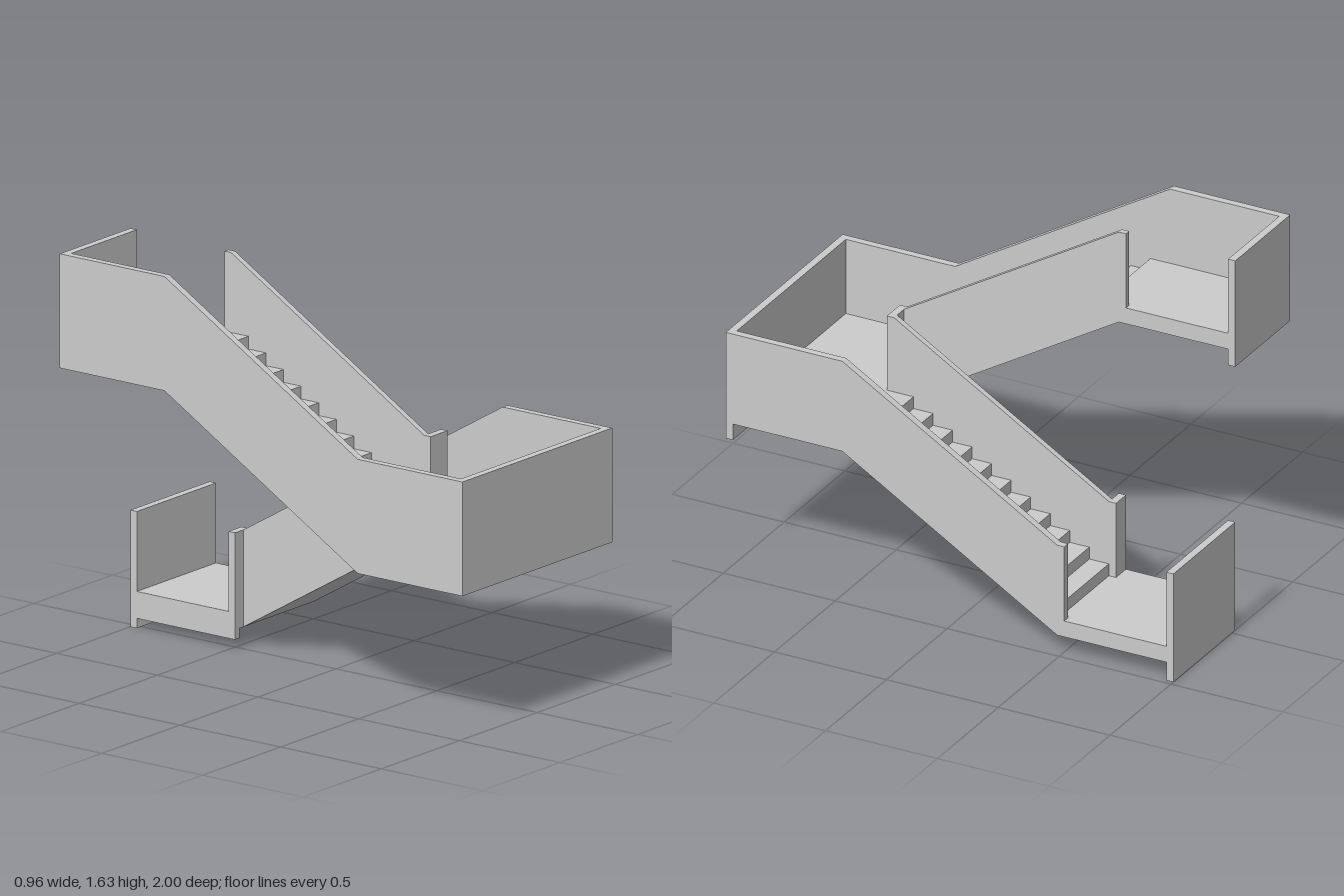
import * as THREE from 'three';

const material = new THREE.MeshStandardMaterial({ color: 0xcccccc, flatShading: true });

// Overall levels and widths
const W = 0.48, T = 0.032;                 // half width, wall thickness
const END = 0.48;                          // flights run from z = -END to END
const LOW = 0.15, MID = 0.726, TOP = 1.302; // floor levels
const SLAB = 0.07, RAIL = 0.327;           // slab depth, parapet height above floor
const GAP = 0.028, INNER = 0.054;          // faces of the inner parapets
const STEPS = 11;

export function createModel() {
  const model = new THREE.Group();

  const add = (name, geometry) => {
    const mesh = new THREE.Mesh(geometry, material);
    mesh.name = name;
    model.add(mesh);
  };

  // Box given by its limits on each axis
  const box = (name, x0, x1, y0, y1, z0, z1) => {
    const g = new THREE.BoxGeometry(x1 - x0, y1 - y0, z1 - z0);
    g.translate((x0 + x1) / 2, (y0 + y1) / 2, (z0 + z1) / 2);
    add(name, g);
  };

  // Side profile of [z, y] points, extruded from x0 to x1
  const profile = (name, x0, x1, points) => {
    const shape = new THREE.Shape(points.map(([z, y]) => new THREE.Vector2(z, y)));
    const g = new THREE.ExtrudeGeometry(shape, { depth: x1 - x0, bevelEnabled: false });
    g.rotateY(-Math.PI / 2);
    g.translate(x1, 0, 0);
    add(name, g);
  };

  // Flight with sawtooth top and sloping soffit; dir is the climbing direction in z
  const flight = (name, x0, x1, base, dir) => {
    const run = (2 * END) / STEPS, rise = (MID - LOW) / STEPS;
    const points = [[-dir * END, base - SLAB], [-dir * END, base]];
    for (let i = 0; i < STEPS; i++) {
      const z = -END + i * run, y = base + (i + 1) * rise;
      points.push([dir * z, y], [dir * (z + run), y]);
    }
    points.push([dir * END, base + STEPS * rise - SLAB]);
    profile(name, x0, x1, points);
  };

  // Landings
  box('lowerLanding', -GAP, W, LOW - SLAB, LOW, -1, -END);
  box('middleLanding', -W, W, MID - SLAB, MID, END, 1);
  box('upperLanding', -W, -GAP, TOP - SLAB, TOP, -1, -END);

  // Beams under the landings
  box('lowerBeam', -GAP, 0, LOW - SLAB - 0.04, LOW - SLAB, -1 + T, -END);
  box('middleBeam', -GAP, 0, MID - SLAB - 0.04, MID - SLAB, END, 1 - T);

  // Flights of steps
  flight('lowerFlight', GAP, W - T / 2, LOW, 1);
  flight('upperFlight', -W + T / 2, -GAP, MID, -1);

  // Parapets of the lower flight
  const lowerEnd = [
    [END, MID + RAIL], [-END, LOW + RAIL], [-END - T, LOW + RAIL],
    [-END - T, LOW - SLAB], [-END, LOW - SLAB], [END, MID - SLAB],
  ];
  profile('lowerOuterParapet', W - T, W, [[1, MID + RAIL], ...lowerEnd, [1, MID - SLAB]]);
  profile('lowerInnerParapet', GAP, INNER, lowerEnd);

  // Parapets of the upper flight; the outer one hangs below the soffit
  const drop = SLAB * 2;
  profile('upperOuterParapet', -W, -W + T, [
    [1, MID + RAIL], [END, MID + RAIL], [-END, TOP + RAIL], [-1, TOP + RAIL],
    [-1, TOP - drop], [-END, TOP - drop], [END, MID - drop], [1, MID - drop],
  ]);
  profile('upperInnerParapet', -INNER, -GAP, [
    [END, MID + RAIL], [-END, TOP + RAIL], [-END - T, TOP + RAIL],
    [-END - T, TOP - SLAB], [-END, TOP - SLAB], [END, MID - SLAB],
  ]);

  // Short returns closing the stairwell
  box('middleReturn', -INNER, INNER, MID - SLAB, MID + RAIL, END, END + T);
  box('lowerReturn', -GAP, INNER, LOW - SLAB, LOW + RAIL, -END - T, -END);

  // End walls of the landings
  box('lowerEndWall', -GAP, W, 0, LOW + RAIL, -1, -1 + T);
  box('middleEndWall', -W, W, MID - drop, MID + RAIL, 1 - T, 1);
  box('upperEndWall', -W, -GAP, TOP - drop, TOP + RAIL, -1, -1 + T);

  return model;
}
